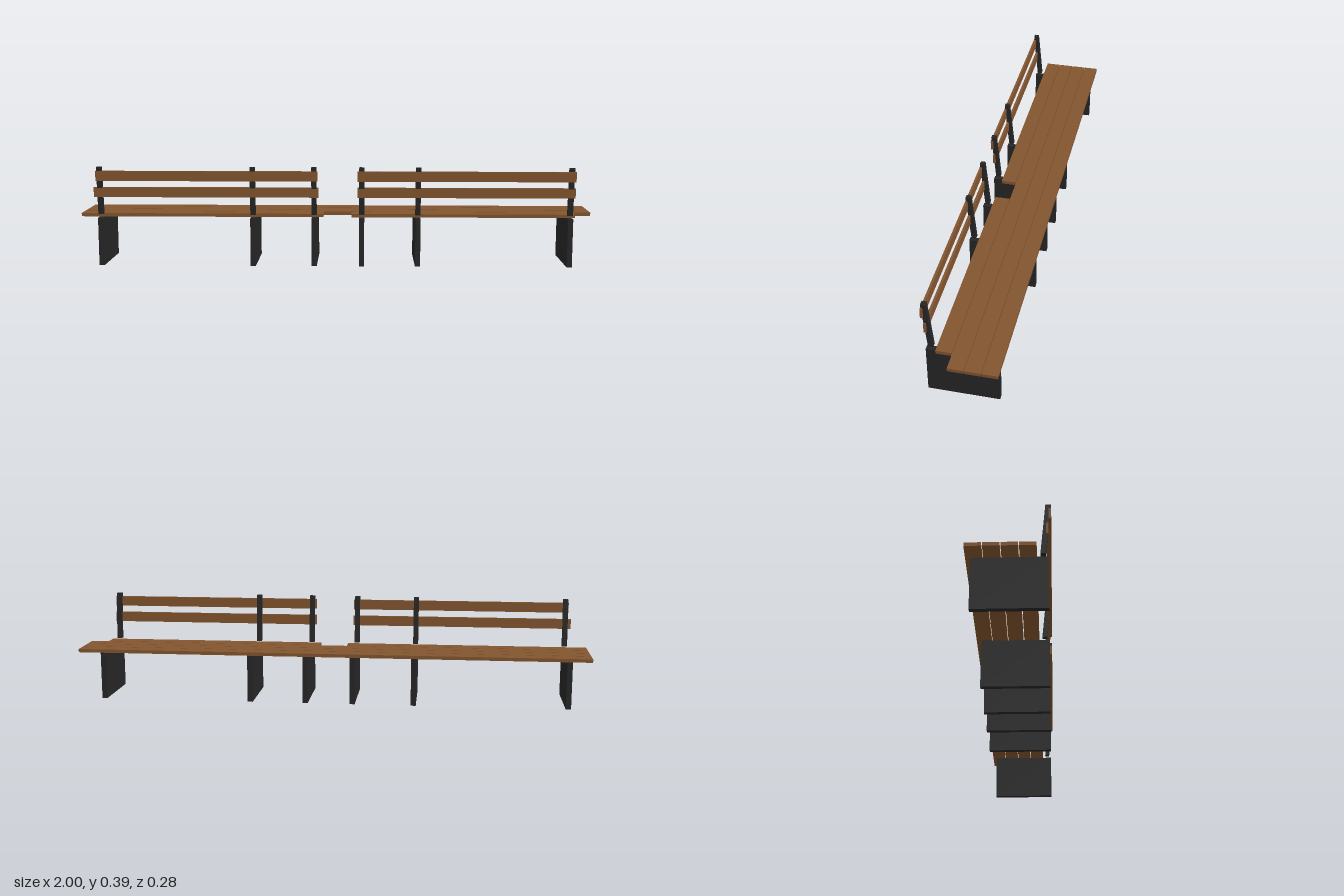
import * as THREE from 'three';

export function createModel() {
  const model = new THREE.Group();
  model.name = 'longBench';
  const wood = new THREE.MeshStandardMaterial({ color: 0x83552f });
  const metal = new THREE.MeshStandardMaterial({ color: 0x262626 });

  // Box given by its minimum and maximum on each axis
  function block(name, material, [x0, x1], [y0, y1], [z0, z1]) {
    const mesh = new THREE.Mesh(new THREE.BoxGeometry(x1 - x0, y1 - y0, z1 - z0), material);
    mesh.position.set((x0 + x1) / 2, (y0 + y1) / 2, (z0 + z1) / 2);
    mesh.name = name;
    model.add(mesh);
  }

  // Seat: three full-length slats
  const seatY = [0.188, 0.201];
  for (let i = 0; i < 3; i++) {
    const z = -0.14 + i * 0.059;
    block('seatSlat', wood, [-1, 1], seatY, [z, z + 0.056]);
  }
  // Fourth slat, split by a gap
  for (const span of [[-1, -0.05], [0.06, 0.93]]) {
    block('seatSlatShort', wood, span, seatY, [0.037, 0.093]);
  }

  // Leaning post profile: level top and bottom, drawn in (-z, y)
  const profile = new THREE.Shape([
    new THREE.Vector2(-0.122, 0.201),
    new THREE.Vector2(-0.104, 0.201),
    new THREE.Vector2(-0.122, 0.388),
    new THREE.Vector2(-0.14, 0.388),
  ]);
  const width = 0.02;
  const postGeometry = new THREE.ExtrudeGeometry(profile, { depth: width, bevelEnabled: false });
  postGeometry.translate(0, 0, -width / 2).rotateY(Math.PI / 2);

  // Panel legs, each with a backrest post above
  for (const x of [-0.917, -0.323, -0.085, 0.1, 0.318, 0.906]) {
    block('panelLeg', metal, [x - width / 2, x + width / 2], [0, 0.188], [-0.125, 0.131]);
    const post = new THREE.Mesh(postGeometry, metal);
    post.position.x = x;
    post.name = 'backrestPost';
    model.add(post);
  }

  // Backrest slats on both halves
  for (const span of [[-0.94, -0.068], [0.083, 0.922]]) {
    block('lowerBackSlat', wood, span, [0.27, 0.309], [0.123, 0.132]);
  }
  for (const span of [[-0.93, -0.07], [0.083, 0.922]]) {
    block('upperBackSlat', wood, span, [0.334, 0.373], [0.132, 0.141]);
  }
  return model;
}
